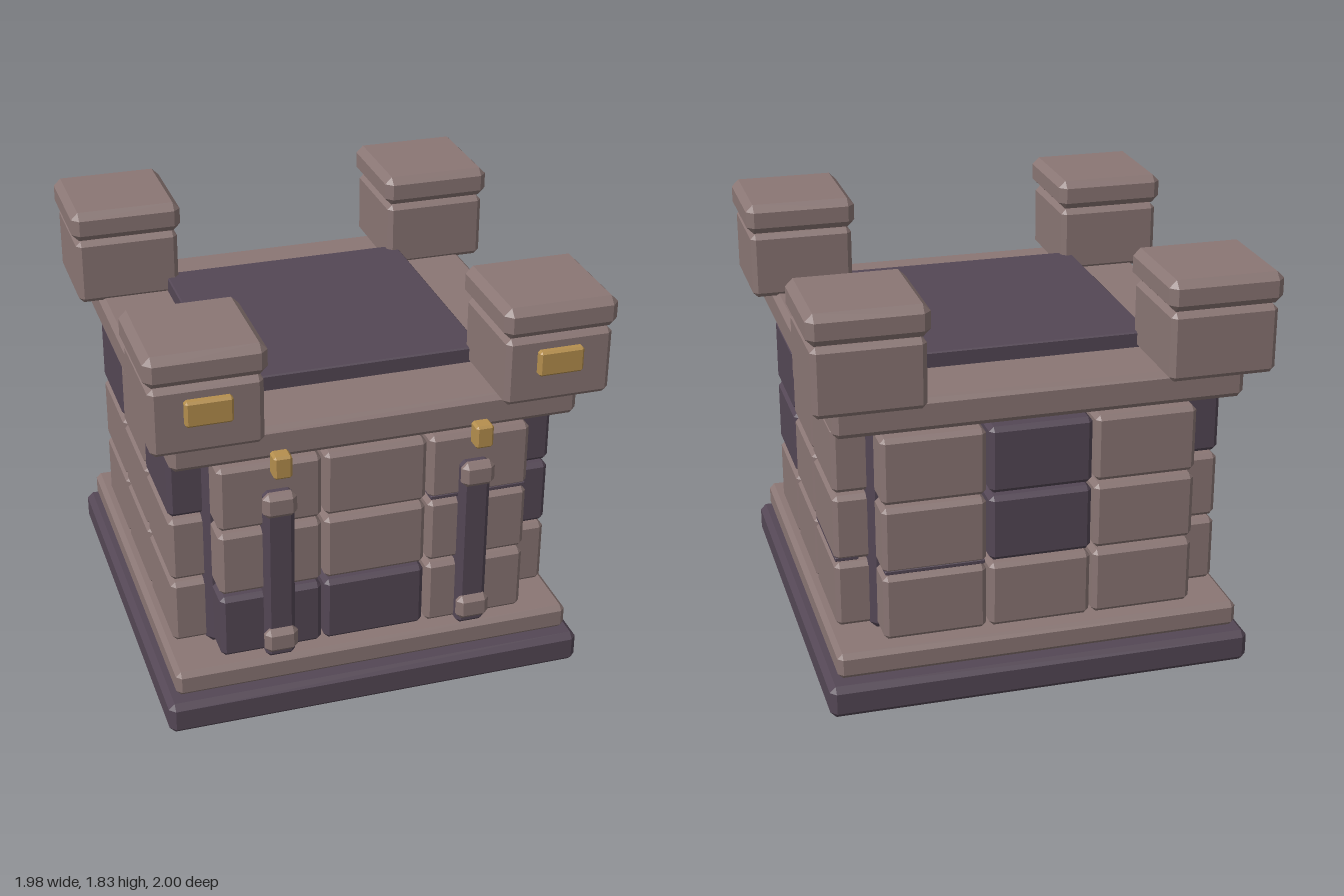
import * as THREE from 'three';
import { ConvexGeometry } from 'three/addons/geometries/ConvexGeometry.js';

const material = (name, color) => {
  const m = new THREE.MeshStandardMaterial({ color });
  m.name = name;
  return m;
};

// Box with flat chamfers on every edge, centred on its origin
function chamferBox(w, h, d, c) {
  const points = [];
  for (const x of [-1, 1]) for (const y of [-1, 1]) for (const z of [-1, 1]) {
    const [a, b, e] = [w / 2, h / 2, d / 2];
    points.push(
      new THREE.Vector3(x * a, y * (b - c), z * (e - c)),
      new THREE.Vector3(x * (a - c), y * b, z * (e - c)),
      new THREE.Vector3(x * (a - c), y * (b - c), z * e));
  }
  return new ConvexGeometry(points);
}

export function createModel() {
  const model = new THREE.Group();
  model.name = 'stoneTower';
  const stone = material('warm stone', 0x8a7674);
  const dark = material('dark stone', 0x544755);
  const gold = material('brass', 0xb58f4e);

  // Adds a chamfered block standing on y0
  function block(parent, name, mat, w, y0, y1, d, x, z, c) {
    const mesh = new THREE.Mesh(chamferBox(w, y1 - y0, d, c), mat);
    mesh.name = name;
    mesh.position.set(x, (y0 + y1) / 2, z);
    parent.add(mesh);
    return mesh;
  }

  const tower = new THREE.Group();
  tower.name = 'tower';
  tower.position.z = -0.006;
  model.add(tower);

  // Stepped foot, core, cornice and roof slab
  block(tower, 'base', dark, 1.876, 0, 0.147, 1.876, 0, 0, 0.026);
  block(tower, 'plinth', stone, 1.786, 0.16, 0.276, 1.786, 0, 0, 0.022);
  block(tower, 'core', dark, 1.424, 0.276, 1.25, 1.424, 0, 0, 0.03);
  block(tower, 'cornice', stone, 1.76, 1.252, 1.4, 1.76, 0, 0, 0.025);
  block(tower, 'roofSlab', dark, 1.126, 1.38, 1.468, 1.126, 0, 0, 0.006);

  // Brick walls: dark bricks and mortar chips as [column, row] seen from outside
  const walls = [
    { name: 'frontWall', turn: 0, darks: ['0,0', '1,0'], chips: ['2,2'] },
    { name: 'leftWall', turn: 1, darks: ['0,1', '0,2'], chips: ['2,1'] },
    { name: 'backWall', turn: 2, darks: ['1,1', '1,2'], chips: ['0,1'] },
    { name: 'rightWall', turn: 3, darks: ['0,2', '2,2'], chips: [] },
  ];
  for (const { name, turn, darks, chips } of walls) {
    const wall = new THREE.Group();
    wall.name = name;
    wall.rotation.y = turn * Math.PI / 2;
    tower.add(wall);
    for (let col = 0; col < 3; col++) for (let row = 0; row < 3; row++) {
      const key = `${col},${row}`;
      const x = (col - 1) * 0.46, y = 0.298 + row * 0.3135;
      block(wall, 'brick', darks.includes(key) ? dark : stone, 0.447, y, y + 0.298, 0.18, x, 0.765, 0.02);
      // Dark sliver under the brick
      if (chips.includes(key)) block(wall, 'chip', dark, 0.43, y - 0.004, y + 0.014, 0.1, x, 0.802, 0.003);
    }
  }

  // Corner turrets with caps
  for (const x of [-0.741, 0.741]) for (const z of [-0.741, 0.741]) {
    block(tower, 'turret', stone, 0.466, 1.39, 1.69, 0.466, x, z, 0.022);
    block(tower, 'turretCap', stone, 0.498, 1.696, 1.832, 0.498, x, z, 0.032);
  }

  // Front fittings, mirrored
  for (const s of [-1, 1]) {
    block(model, 'strap', dark, 0.13, 0.288, 1.1, 0.115, s * 0.432, 0.838, 0.02);
    for (const y of [0.324, 0.994])
      block(model, 'strapClamp', stone, 0.146, y, y + 0.115, 0.062, s * 0.434, 0.893, 0.024);
    block(model, 'brassTab', gold, 0.078, 1.204, 1.308, 0.074, s * 0.434, 0.922, 0.01);
    block(model, 'brassPlate', gold, 0.196, 1.524, 1.636, 0.06, s * 0.739, 0.97, 0.01);
  }
  return model;
}
